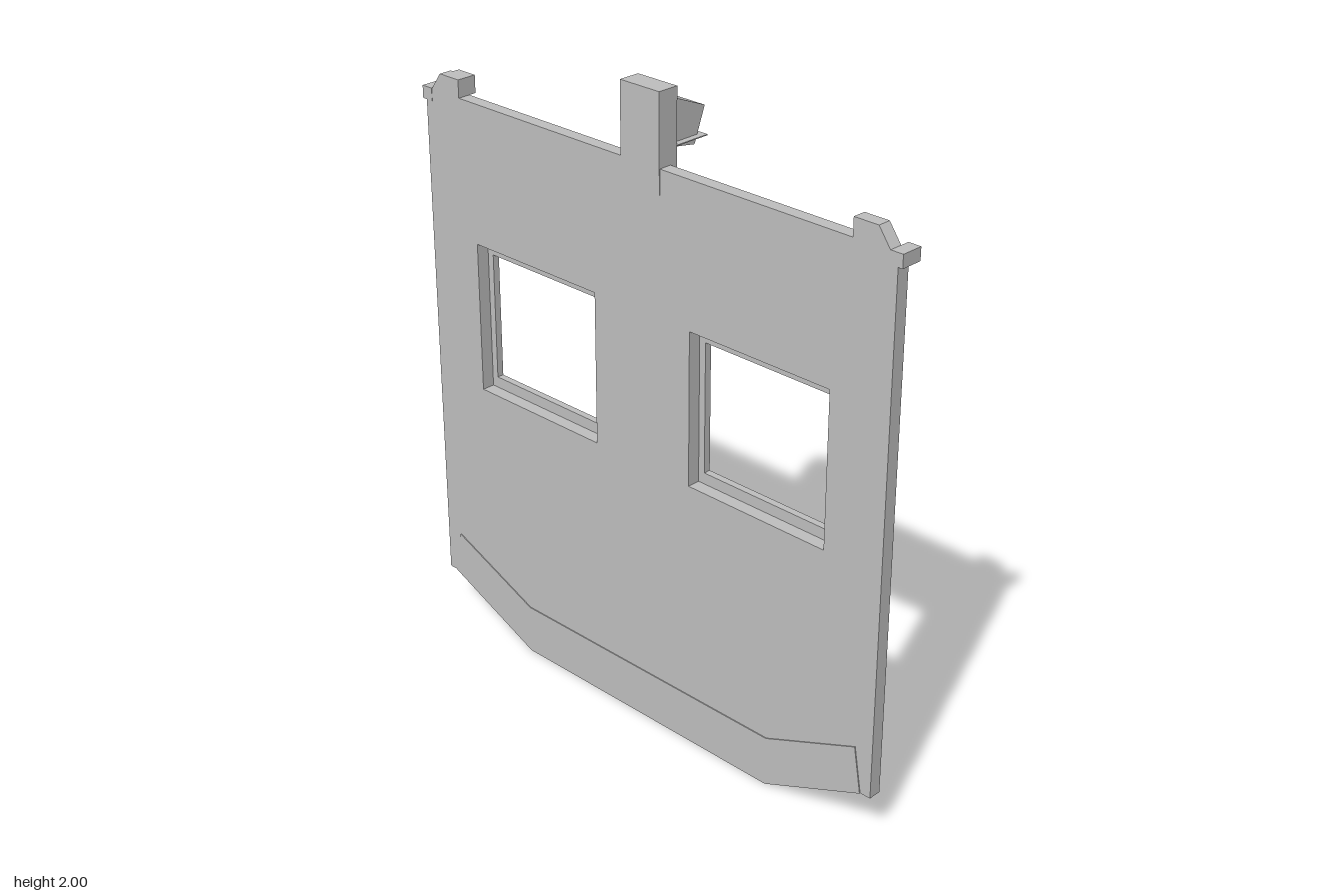
import * as THREE from 'three';

const grey = new THREE.MeshStandardMaterial({ color: 0xc0c0c0 });
grey.name = 'plain grey';

export function createModel() {
  const model = new THREE.Group();
  model.name = 'cabEndPanel';

  const add = (name, geometry) => {
    const mesh = new THREE.Mesh(geometry, grey);
    mesh.name = name;
    model.add(mesh);
    return mesh;
  };
  // Box given by its limits on each axis
  const box = (name, x0, x1, y0, y1, z0, z1) => {
    const mesh = add(name, new THREE.BoxGeometry(x1 - x0, y1 - y0, z1 - z0));
    mesh.position.set((x0 + x1) / 2, (y0 + y1) / 2, (z0 + z1) / 2);
    return mesh;
  };
  const points = (list) => list.map(([x, y]) => new THREE.Vector2(x, y));
  const rect = (x0, x1, y0, y1) => new THREE.Path(points([[x0, y0], [x0, y1], [x1, y1], [x1, y0]]));
  // Flat outline extruded from z0 to z1
  const slab = (name, outline, holes, z0, z1) => {
    const shape = new THREE.Shape(points(outline));
    shape.holes.push(...holes);
    const geometry = new THREE.ExtrudeGeometry(shape, { depth: z1 - z0, bevelEnabled: false });
    return add(name, geometry.translate(0, 0, z0));
  };

  const back = 0.053, front = 0.094;

  // Main sheet with two window openings
  slab('mainPanel',
    [[-0.5, 0], [0.5, 0], [0.85, 0.15], [0.885, 0.15], [0.885, 1.785],
      [-0.885, 1.785], [-0.885, 0.15], [-0.85, 0.15]],
    [rect(0.185, 0.685, 0.865, 1.345), rect(-0.685, -0.185, 0.865, 1.345)], back, front);

  // Thin skin along the lower front edge
  slab('lowerApron',
    [[-0.5, 0], [0.5, 0], [0.85, 0.15], [0.825, 0.295], [0.5, 0.16],
      [-0.5, 0.16], [-0.825, 0.295], [-0.85, 0.15]], [], front, front + 0.003);

  for (const s of [1, -1]) {
    const side = s > 0 ? 'left' : 'right';
    const span = (a, b) => (s > 0 ? [a, b] : [-b, -a]);

    // Window frame with notched corners, and the shade above it
    const [w0, w1] = span(0.16, 0.71);
    const n = 0.025;
    slab(side + 'WindowFrame',
      [[w0 + n, 0.84], [w1 - n, 0.84], [w1 - n, 0.865], [w1, 0.865], [w1, 1.345], [w1 - n, 1.345],
        [w1 - n, 1.37], [w0 + n, 1.37], [w0 + n, 1.345], [w0, 1.345], [w0, 0.865], [w0 + n, 0.865]],
      [rect(w0 + 0.047, w1 - 0.057, 0.9, 1.305)], 0.031, back);
    box(side + 'WindowShade', ...span(0.135, 0.73), 1.418, 1.422, -0.003, back);

    // Instrument box under a thin three-sided hood
    box(side + 'InstrumentBox', ...span(0.325, 0.675), 0.61, 0.806, 0, back);
    box(side + 'HoodTop', ...span(0.316, 0.684), 0.806, 0.81, -0.02, back);
    for (const x of [0.316, 0.68]) box(side + 'HoodCheek', ...span(x, x + 0.004), 0.7, 0.806, -0.02, back);

    // Pair of small switch blocks
    const cx = s > 0 ? 0.55 : -0.58;
    for (const y of [0.35, 0.5]) box(side + 'SwitchBlock', cx - 0.033, cx + 0.033, y, y + 0.07, 0.025, back);

    // Ear on the top edge and end bracket
    slab(side + 'TopEar', [[s * 0.74, 1.785], [s * 0.86, 1.785], [s * 0.82, 1.84], [s * 0.74, 1.84]], [], back, front);
    box(side + 'EndBracket', ...span(0.86, 0.9), 1.748, 1.787, 0.026, front + 0.001);
  }
  box('earBacking', -0.81, -0.74, 1.785, 1.84, 0.03, back);

  // Control box with a tilted tray at its foot
  box('controlBox', 0.615, 0.73, 0.37, 0.5, 0.005, back);
  const tray = box('controlTray', 0.6, 0.745, 0.36, 0.429, -0.0045, 0.0305);
  tray.rotation.x = 0.39;

  // Small blocks in the bottom corner
  box('cornerBlock', -0.81, -0.745, 0.135, 0.2, 0.025, back);
  box('cornerStud', -0.695, -0.665, 0.14, 0.17, 0.03, back);

  // Centre post with the downward-tilted lamp on a thin shelf
  box('lampPost', -0.073, 0.073, 1.71, 2, 0.028, front + 0.002);
  const lamp = new THREE.Shape(points([[-0.03, 1.965], [-0.03, 1.825], [0.058, 1.81], [0.097, 1.912]]));
  const lampGeometry = new THREE.ExtrudeGeometry(lamp, { depth: 0.11, bevelEnabled: false });
  lampGeometry.translate(0, 0, -0.055).rotateY(Math.PI / 2);
  add('lamp', lampGeometry);
  box('lampShelf', -0.075, 0.075, 1.833, 1.836, -0.088, 0.03);

  return model;
}
